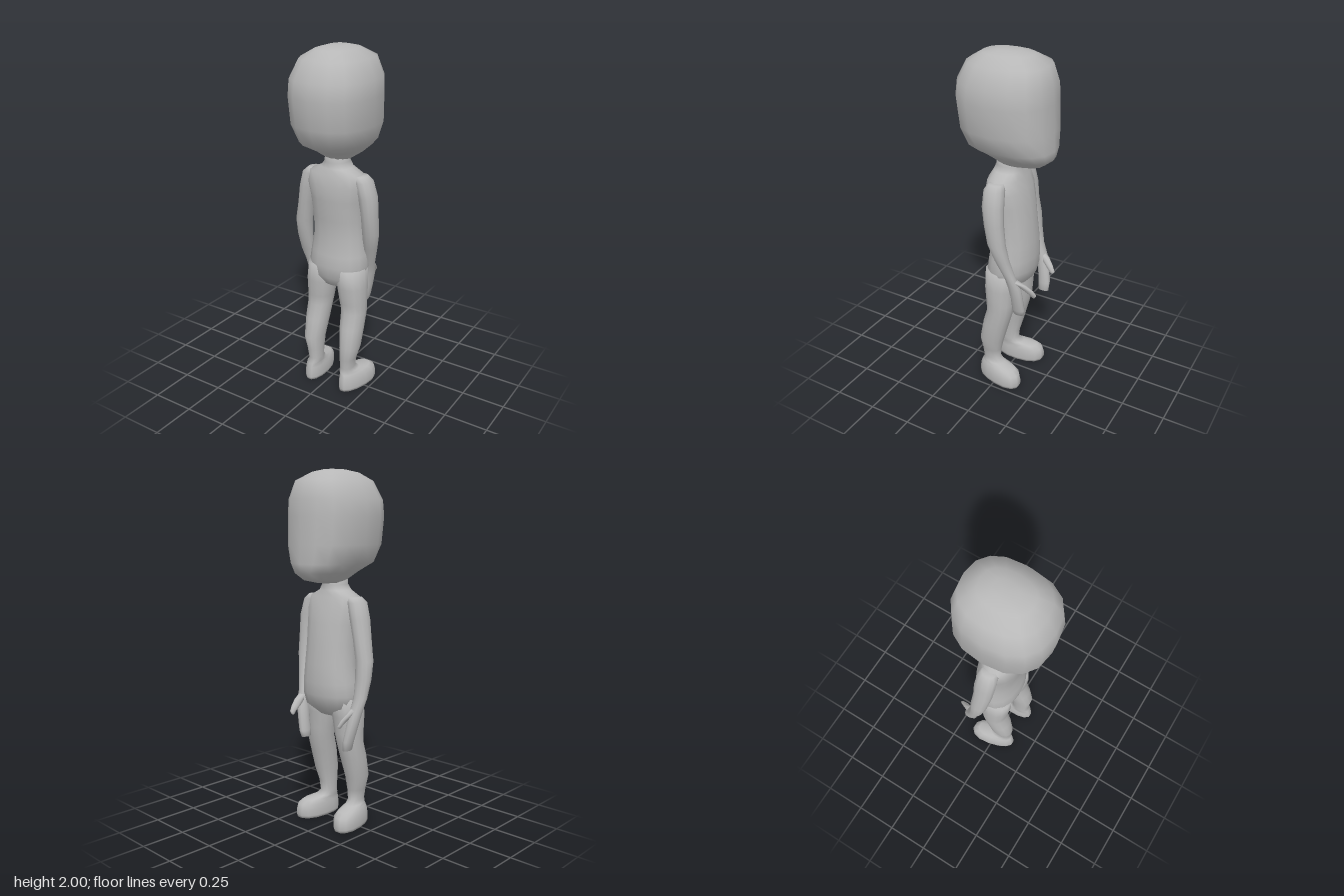
import * as THREE from 'three';

const MID = 0.022; // the figure's own centre line in x

// Skin over horizontal rings listed from top to bottom:
// [y, zMax, zMin, centreX, halfWidth, shear (x drift along z), flare (wider towards -z)]
function loft(rings, { sides = 14, power = 2.2, mirror = false } = {}) {
  const pos = [], idx = [];
  for (const [y, z0, z1, cx, hw, shear = 0, flare = 0] of rings) {
    const cz = (z0 + z1) / 2, rz = (z0 - z1) / 2;
    for (let j = 0; j < sides; j++) {
      const a = (j / sides) * Math.PI * 2, c = Math.cos(a), s = Math.sin(a);
      const px = Math.sign(c) * Math.abs(c) ** (2 / power);
      const pz = Math.sign(s) * Math.abs(s) ** (2 / power);
      const x = cx + px * hw * (1 - flare * pz) - shear * pz * rz;
      pos.push(mirror ? 2 * MID - x : x, y, cz + pz * rz);
    }
  }
  const tri = (a, b, c) => (mirror ? idx.push(a, c, b) : idx.push(a, b, c));
  for (let i = 0; i < rings.length - 1; i++) {
    for (let j = 0; j < sides; j++) {
      const k = (j + 1) % sides, t = i * sides, b = t + sides;
      tri(t + k, b + k, b + j);
      tri(t + k, b + j, t + j);
    }
  }
  // End caps
  [0, rings.length - 1].forEach((r, end) => {
    const [y, z0, z1, cx] = rings[r], c = pos.length / 3;
    pos.push(mirror ? 2 * MID - cx : cx, y, (z0 + z1) / 2);
    for (let j = 0; j < sides; j++) {
      const a = r * sides + j, b = r * sides + ((j + 1) % sides);
      if (end) tri(c, a, b); else tri(c, b, a);
    }
  });
  const g = new THREE.BufferGeometry();
  g.setAttribute('position', new THREE.Float32BufferAttribute(pos, 3));
  g.setIndex(idx);
  g.computeVertexNormals();
  return g;
}

export function createModel() {
  const model = new THREE.Group();
  model.name = 'figure';
  const grey = new THREE.MeshStandardMaterial({ color: 0xb8b8b8 });
  grey.name = 'plainGrey';
  const add = (name, geometry) => {
    const mesh = new THREE.Mesh(geometry, grey);
    mesh.name = name;
    model.add(mesh);
  };

  // Large head with a narrow chin towards -z
  add('head', loft([
    [2.0, 0.06, -0.07, 0.025, 0.05],
    [1.985, 0.14, -0.14, 0.025, 0.105],
    [1.94, 0.215, -0.228, 0.025, 0.182],
    [1.84, 0.265, -0.256, 0.025, 0.228],
    [1.75, 0.278, -0.262, 0.025, 0.23],
    [1.6, 0.26, -0.268, 0.025, 0.225],
    [1.5, 0.225, -0.272, 0.025, 0.185],
    [1.45, 0.13, -0.266, 0.025, 0.13],
    [1.41, 0.07, -0.215, 0.025, 0.085],
    [1.392, 0.05, -0.13, 0.025, 0.06],
  ], { sides: 16, power: 2.4 }));

  // Neck, shoulders, belly and hips in one skin
  add('torso', loft([
    [1.46, 0.065, -0.08, MID, 0.065],
    [1.38, 0.068, -0.08, MID, 0.068],
    [1.35, 0.078, -0.084, MID, 0.09],
    [1.315, 0.092, -0.095, MID, 0.165],
    [1.25, 0.105, -0.115, MID, 0.178],
    [1.17, 0.103, -0.135, MID, 0.163],
    [1.05, 0.088, -0.15, MID, 0.155],
    [0.94, 0.08, -0.163, MID, 0.158],
    [0.84, 0.094, -0.168, MID, 0.172],
    [0.77, 0.102, -0.165, MID, 0.18],
    [0.7, 0.092, -0.148, MID, 0.165],
    [0.645, 0.06, -0.085, MID, 0.09],
  ], { sides: 16 }));

  // Legs running into rounded feet that turn slightly outwards
  const leg = [
    [0.76, 0.09, -0.12, 0.118, 0.08],
    [0.65, 0.088, -0.1, 0.125, 0.085],
    [0.55, 0.077, -0.09, 0.132, 0.077],
    [0.49, 0.072, -0.082, 0.138, 0.072],
    [0.4, 0.098, -0.058, 0.141, 0.068],
    [0.28, 0.12, -0.026, 0.145, 0.058],
    [0.2, 0.112, -0.006, 0.136, 0.045],
    [0.14, 0.106, 0.0, 0.133, 0.039],
    [0.115, 0.11, -0.03, 0.137, 0.045, 0.08],
    [0.102, 0.117, -0.115, 0.15, 0.052, 0.13, 0.12],
    [0.08, 0.125, -0.146, 0.155, 0.064, 0.13, 0.15],
    [0.045, 0.13, -0.155, 0.157, 0.068, 0.13, 0.15],
    [0.015, 0.131, -0.155, 0.157, 0.068, 0.13, 0.15],
    [0, 0.128, -0.15, 0.157, 0.065, 0.13, 0.15],
  ];
  add('leftLeg', loft(leg));
  add('rightLeg', loft(leg, { mirror: true }));

  // Arms share the shoulder; each has its own forearm and mitten hand
  const shoulder = [
    [1.318, 0.035, -0.05, 0.17, 0.04],
    [1.29, 0.052, -0.065, 0.19, 0.05],
    [1.2, 0.05, -0.072, 0.215, 0.05],
  ];
  add('leftArm', loft([
    ...shoulder,
    [1.1, 0.037, -0.075, 0.222, 0.045],
    [0.98, 0.015, -0.085, 0.222, 0.045],
    [0.88, -0.02, -0.1, 0.208, 0.038],
    [0.77, -0.065, -0.125, 0.184, 0.031],
    [0.7, -0.082, -0.155, 0.172, 0.031],
    [0.62, -0.092, -0.162, 0.158, 0.028],
    [0.54, -0.092, -0.167, 0.144, 0.024],
    [0.505, -0.096, -0.16, 0.138, 0.018],
  ], { sides: 12 }));
  add('rightArm', loft([
    ...shoulder.map(([y, a, b, x, w]) => [y, a, b, 2 * MID - x, w]),
    [1.1, 0.042, -0.07, -0.19, 0.046],
    [0.98, 0.025, -0.075, -0.217, 0.048],
    [0.88, 0.005, -0.08, -0.221, 0.045],
    [0.78, -0.03, -0.092, -0.222, 0.04],
    [0.7, -0.055, -0.125, -0.215, 0.034],
    [0.62, -0.075, -0.145, -0.205, 0.031],
    [0.54, -0.085, -0.158, -0.19, 0.024],
    [0.488, -0.09, -0.155, -0.182, 0.018],
  ], { sides: 12 }));

  // Thumbs reaching towards -z
  add('leftThumb', loft([
    [0.75, -0.08, -0.13, 0.178, 0.022],
    [0.725, -0.11, -0.19, 0.165, 0.017],
    [0.695, -0.155, -0.226, 0.152, 0.015],
    [0.668, -0.2, -0.243, 0.145, 0.012],
    [0.65, -0.218, -0.232, 0.142, 0.006],
  ], { sides: 8 }));
  add('rightThumb', loft([
    [0.73, -0.065, -0.105, -0.215, 0.022],
    [0.7, -0.085, -0.145, -0.205, 0.018],
    [0.665, -0.125, -0.178, -0.188, 0.014],
    [0.635, -0.158, -0.195, -0.178, 0.01],
    [0.622, -0.168, -0.186, -0.176, 0.006],
  ], { sides: 8 }));

  return model;
}
